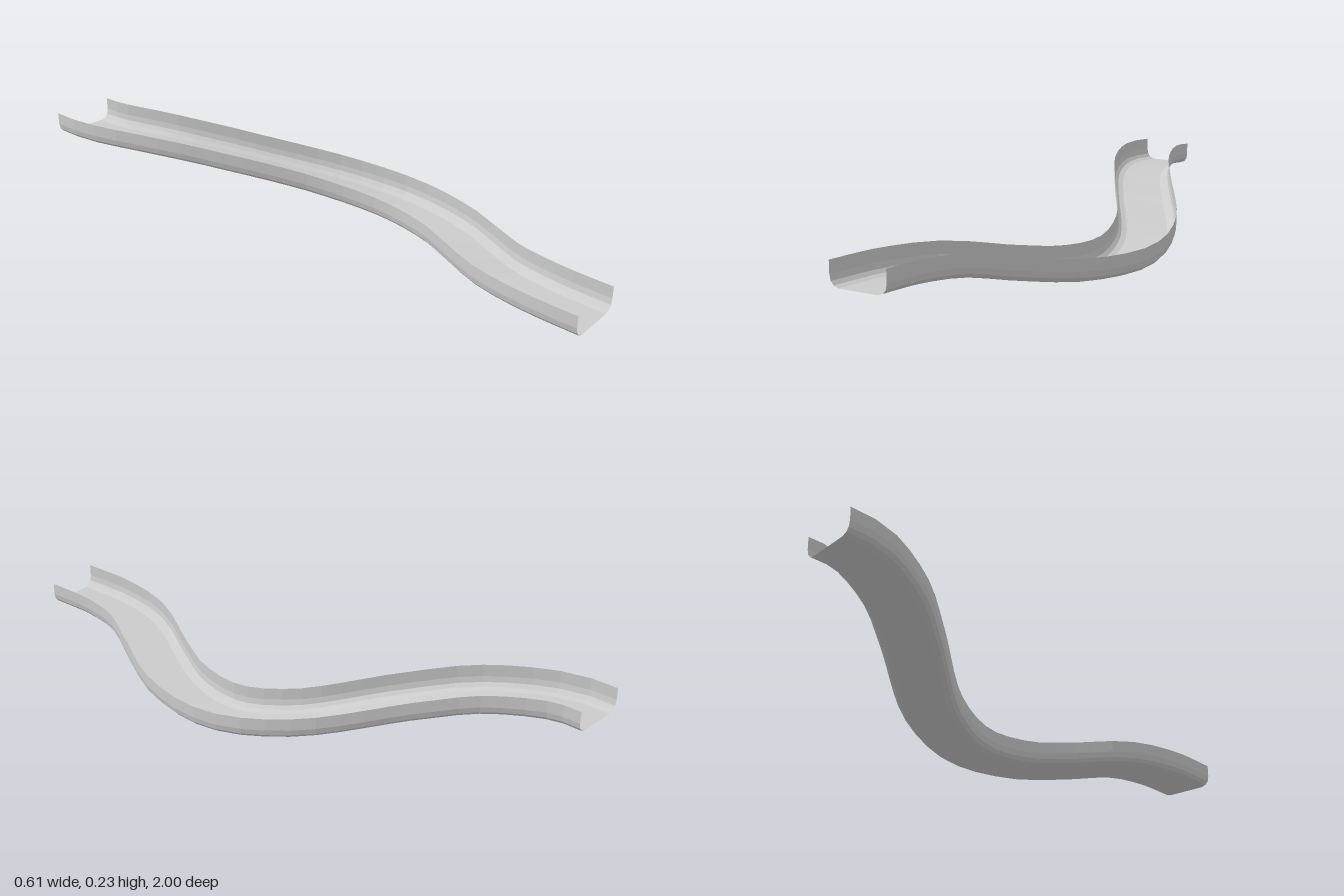
import * as THREE from 'three';

// Floor centreline of the slide, from the low front end to the high back end
const PATH = [
  [-0.098, 0.083, 1], [-0.084, 0.079, 0.82], [-0.037, 0.066, 0.644], [0.073, 0.031, 0.468],
  [0.16, 0.009, 0.316], [0.208, 0.004, 0.1], [0.155, 0.033, -0.138], [-0.027, 0.107, -0.452],
  [-0.132, 0.142, -0.642], [-0.207, 0.152, -0.87], [-0.205, 0.147, -0.983],
].map((p) => new THREE.Vector3(...p));

// Half of the trough section: floor edge, rounded corner, wall, rim
const HALF = [[0.067, 0], [0.084, 0.006], [0.094, 0.017], [0.098, 0.036], [0.098, 0.076]];
const SECTION = [...HALF.map(([x, y]) => [-x, y]).reverse(), ...HALF];
const STEPS = 30;

// Sweep the upright section along the curve
function sweepTrough(curve) {
  const pos = [];
  const index = [];
  const n = SECTION.length;
  for (let i = 0; i <= STEPS; i++) {
    const t = i / STEPS;
    const p = curve.getPointAt(t);
    const dir = curve.getTangentAt(t);
    const side = new THREE.Vector3(-dir.z, 0, dir.x).normalize();
    if (i === 0) side.set(1, 0, 0); // square front end
    if (i === STEPS) side.set(0.983, 0, 0.18); // angled back end
    for (const [s, h] of SECTION) pos.push(p.x + side.x * s, p.y + h, p.z + side.z * s);
    if (i === STEPS) continue;
    for (let j = 0; j < n - 1; j++) {
      const a = i * n + j;
      index.push(a, a + 1, a + n, a + 1, a + n + 1, a + n);
    }
  }
  const geo = new THREE.BufferGeometry();
  geo.setAttribute('position', new THREE.Float32BufferAttribute(pos, 3));
  geo.setIndex(index);
  geo.computeVertexNormals();
  return geo;
}

export function createModel() {
  const group = new THREE.Group();
  group.name = 'slide';
  const trough = new THREE.Mesh(
    sweepTrough(new THREE.CatmullRomCurve3(PATH)),
    new THREE.MeshStandardMaterial({ color: 0xcccccc, flatShading: true, side: THREE.DoubleSide }),
  );
  trough.name = 'trough';
  group.add(trough);
  return group;
}
